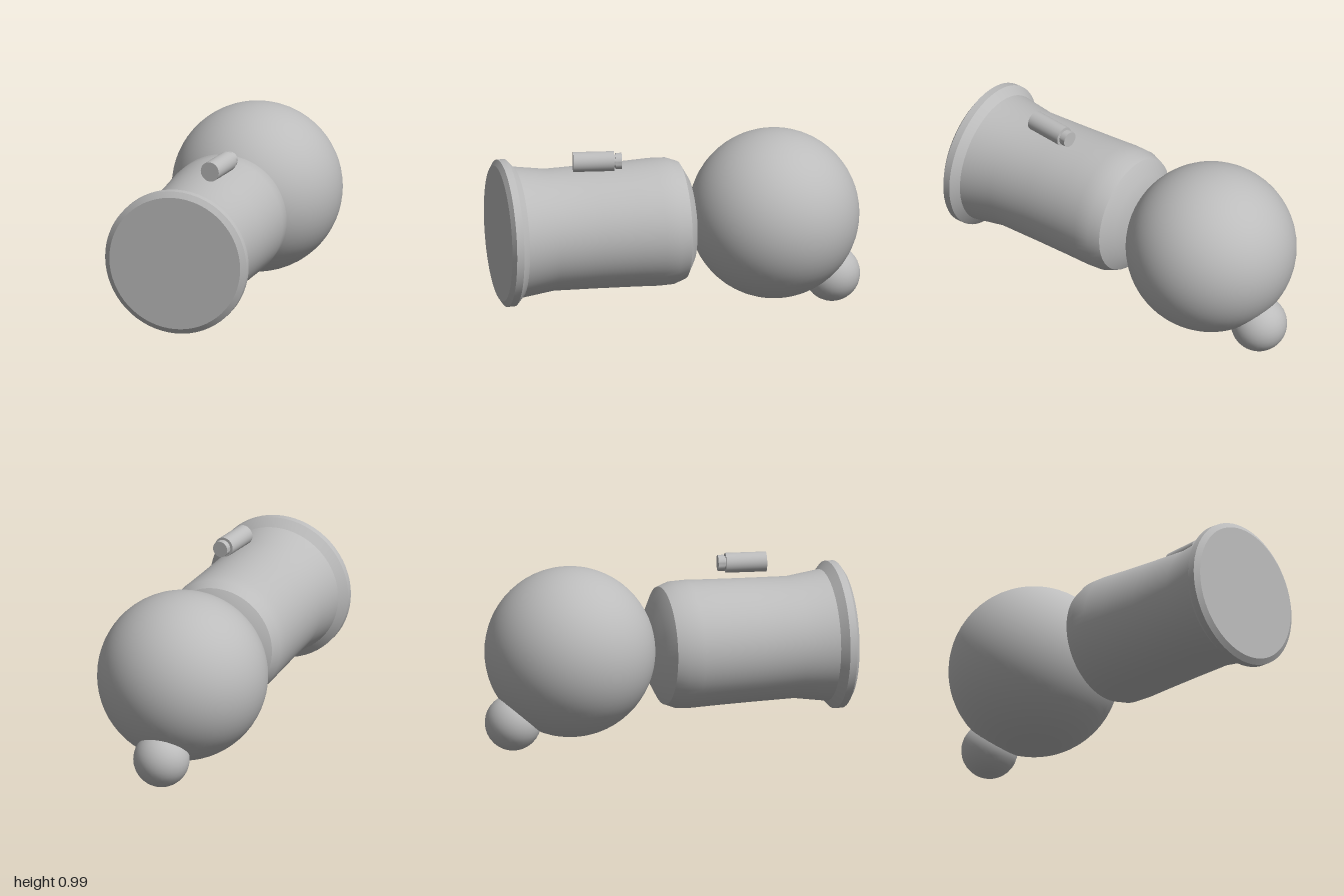
import * as THREE from 'three';
import { toCreasedNormals } from 'three/addons/utils/BufferGeometryUtils.js';

const grey = new THREE.MeshStandardMaterial({ color: 0xbcbcbc });
grey.name = 'grey';

const AXIS_Y = 0.526;

// Turned solid along z, from [radius, z] pairs given back to front
function turned(name, profile, segments) {
  const points = profile.map(([r, z]) => new THREE.Vector2(r, z));
  const geometry = new THREE.LatheGeometry(points, segments).rotateX(Math.PI / 2);
  const mesh = new THREE.Mesh(toCreasedNormals(geometry, 0.5), grey);
  mesh.name = name;
  return mesh;
}

function ball(name, radius, y, z, segments) {
  const mesh = new THREE.Mesh(new THREE.SphereGeometry(radius, segments, segments / 2), grey);
  mesh.name = name;
  mesh.position.set(0, y, z);
  return mesh;
}

export function createModel() {
  const model = new THREE.Group();
  model.name = 'model';

  // Waisted barrel with rounded back shoulder and flared front rim
  const barrel = turned('barrel', [
    [0, -0.075], [0.13, -0.075], [0.24, -0.052], [0.32, -0.008], [0.344, 0.055],
    [0.347, 0.14], [0.342, 0.27], [0.336, 0.48], [0.331, 0.72], [0.357, 0.9],
    [0.4, 0.94], [0.4, 0.98], [0.37, 1], [0, 1],
  ], 64);
  barrel.position.y = AXIS_Y;
  model.add(barrel);

  // Large ball and the small ball sunk into its lower back
  model.add(ball('largeBall', 0.463, AXIS_Y, -0.525, 64));
  model.add(ball('smallBall', 0.153, 0.154, -0.846, 32));

  // Small floating peg above the barrel, with a narrow neck and end cap
  const peg = turned('peg', [
    [0, -0.132], [0.044, -0.132], [0.044, -0.098], [0.036, -0.098], [0.036, -0.09],
    [0.054, -0.09], [0.054, 0.132], [0, 0.132],
  ], 32);
  peg.position.set(0.095, 0.936, 0.472);
  peg.rotation.y = -0.14;
  model.add(peg);

  return model;
}
